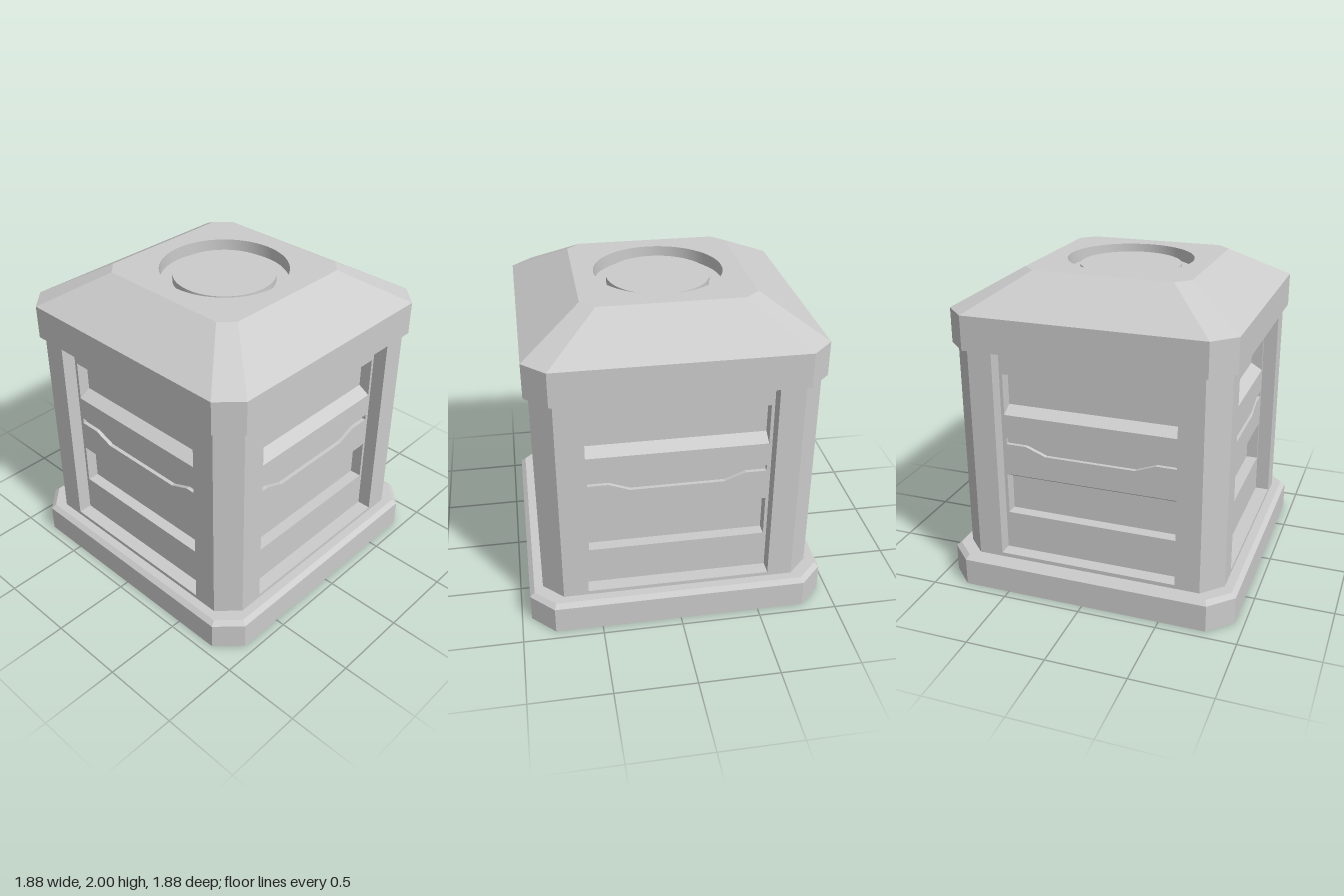
import * as THREE from 'three';
import { toCreasedNormals } from 'three/addons/utils/BufferGeometryUtils.js';

const flat = new THREE.MeshStandardMaterial({ color: 0xcccccc, flatShading: true });
const smooth = new THREE.MeshStandardMaterial({ color: 0xcccccc });

function mesh(name, geometry, material = flat) {
  const m = new THREE.Mesh(geometry, material);
  m.name = name;
  return m;
}

// Square with cut corners: half = half width, edge = half length of each straight side
function octagon(half, edge) {
  return [[half, edge], [half, -edge], [edge, -half], [-edge, -half],
    [-half, -edge], [-half, edge], [-edge, half], [edge, half]];
}

const toShape = (pts) => new THREE.Shape(pts.map(([x, y]) => new THREE.Vector2(x, y)));
const toPath = (pts) => new THREE.Path(pts.map(([x, y]) => new THREE.Vector2(x, y)));
const rect = (w, y0, y1) => [[-w, y0], [w, y0], [w, y1], [-w, y1]];

function extrude(shape, z0, z1) {
  return new THREE.ExtrudeGeometry(shape, { depth: z1 - z0, bevelEnabled: false }).translate(0, 0, z0);
}

// Stacks octagons [half, edge, y] into a solid, closed below and optionally above
function octagonLoft(levels, closeTop) {
  const pos = [];
  const loops = levels.map(([h, e, y]) => octagon(h, e).map(([x, z]) => [x, y, z]));
  const tri = (...p) => p.forEach((v) => pos.push(...v));
  for (let l = 0; l < loops.length - 1; l++) {
    for (let i = 0; i < 8; i++) {
      const j = (i + 1) % 8;
      const [a, b, c, d] = [loops[l][i], loops[l][j], loops[l + 1][j], loops[l + 1][i]];
      tri(a, b, c);
      tri(a, c, d);
    }
  }
  const low = loops[0];
  const top = loops[loops.length - 1];
  for (let i = 1; i < 7; i++) {
    tri(low[0], low[i + 1], low[i]);
    if (closeTop) tri(top[0], top[i], top[i + 1]);
  }
  const g = new THREE.BufferGeometry();
  g.setAttribute('position', new THREE.Float32BufferAttribute(pos, 3));
  g.computeVertexNormals();
  return g;
}

// Triangular bar running along x, from a [z, y] profile
function wedge(profile, halfLength) {
  return extrude(toShape(profile.map(([z, y]) => [-z, y])), -halfLength, halfLength).rotateY(Math.PI / 2);
}

const BODY_BOTTOM = 0.2;
const BODY_TOP = 1.575;
const CORE = 0.69; // back of the recesses
const PANEL = 0.765; // face of the side panels
const POST = 0.855; // face of the corner posts
const INNER = 0.575; // inner edge of the posts
const SLOT = 0.555; // half width of the recesses

function createSide() {
  const side = new THREE.Group();
  side.name = 'side';

  // Panel pierced by two recesses and a bent handle groove
  const groove = [[-0.55, 0.95], [-0.42, 0.95], [-0.29, 0.9], [0.29, 0.9], [0.42, 0.95], [0.55, 0.95],
    [0.55, 0.99], [0.41, 0.99], [0.285, 0.94], [-0.285, 0.94], [-0.41, 0.99], [-0.55, 0.99]];
  const face = toShape(rect(INNER, BODY_BOTTOM, BODY_TOP));
  face.holes.push(toPath(rect(SLOT, 1.145, 1.41)), toPath(rect(SLOT, 0.475, 0.745)), toPath(groove));
  side.add(mesh('panel', extrude(face, CORE, PANEL)));
  side.add(mesh('grooveFloor', extrude(toShape(groove), CORE, PANEL - 0.025)));

  // Slopes at the bottom of the upper recess and the top of the lower one
  side.add(mesh('upperRecessSlope', wedge([[CORE, 1.145], [PANEL, 1.145], [CORE, 1.19]], SLOT)));
  side.add(mesh('lowerRecessSlope', wedge([[CORE, 0.7], [PANEL, 0.745], [CORE, 0.745]], SLOT)));

  // Sill below the panel, level with the posts
  const sill = new THREE.BoxGeometry(INNER * 2, 0.025, POST - CORE);
  side.add(mesh('sill', sill.translate(0, BODY_BOTTOM + 0.0125, (POST + CORE) / 2)));

  // Corner post with a cut outer edge
  const post = toShape([[INNER, -INNER], [INNER, -POST], [0.73, -POST], [POST, -0.73], [POST, -INNER]]);
  side.add(mesh('cornerPost', extrude(post, BODY_BOTTOM, BODY_TOP).rotateX(-Math.PI / 2)));
  return side;
}

export function createModel() {
  const model = new THREE.Group();
  model.name = 'crate';

  model.add(mesh('base', octagonLoft([[0.94, 0.795, 0], [0.94, 0.795, 0.175], [0.91, 0.783, 0.2]], true)));

  const coreHeight = BODY_TOP - BODY_BOTTOM;
  const core = new THREE.BoxGeometry(CORE * 2, coreHeight, CORE * 2);
  model.add(mesh('core', core.translate(0, BODY_BOTTOM + coreHeight / 2, 0)));

  for (let i = 0; i < 4; i++) {
    const side = createSide();
    side.rotation.y = (i * Math.PI) / 2;
    model.add(side);
  }

  // Sloping lid, open at the top for the round recess
  model.add(mesh('lid', octagonLoft([[0.885, 0.75, BODY_TOP], [0.885, 0.75, 1.79], [0.525, 0.44, 2]], false)));
  const top = toShape(octagon(0.525, 0.44));
  top.holes.push(new THREE.Path().absarc(0, 0, 0.4, 0, Math.PI * 2));
  model.add(mesh('lidTop', new THREE.ShapeGeometry(top, 32).rotateX(-Math.PI / 2).translate(0, 2, 0)));

  // Sunken ring around a low round button
  const profile = [[0.4, 2], [0.4, 1.92], [0.32, 1.92], [0.32, 1.965], [0, 1.965]];
  const dish = new THREE.LatheGeometry(profile.map(([r, y]) => new THREE.Vector2(r, y)), 64);
  model.add(mesh('roundRecess', toCreasedNormals(dish, 0.6), smooth));

  return model;
}
